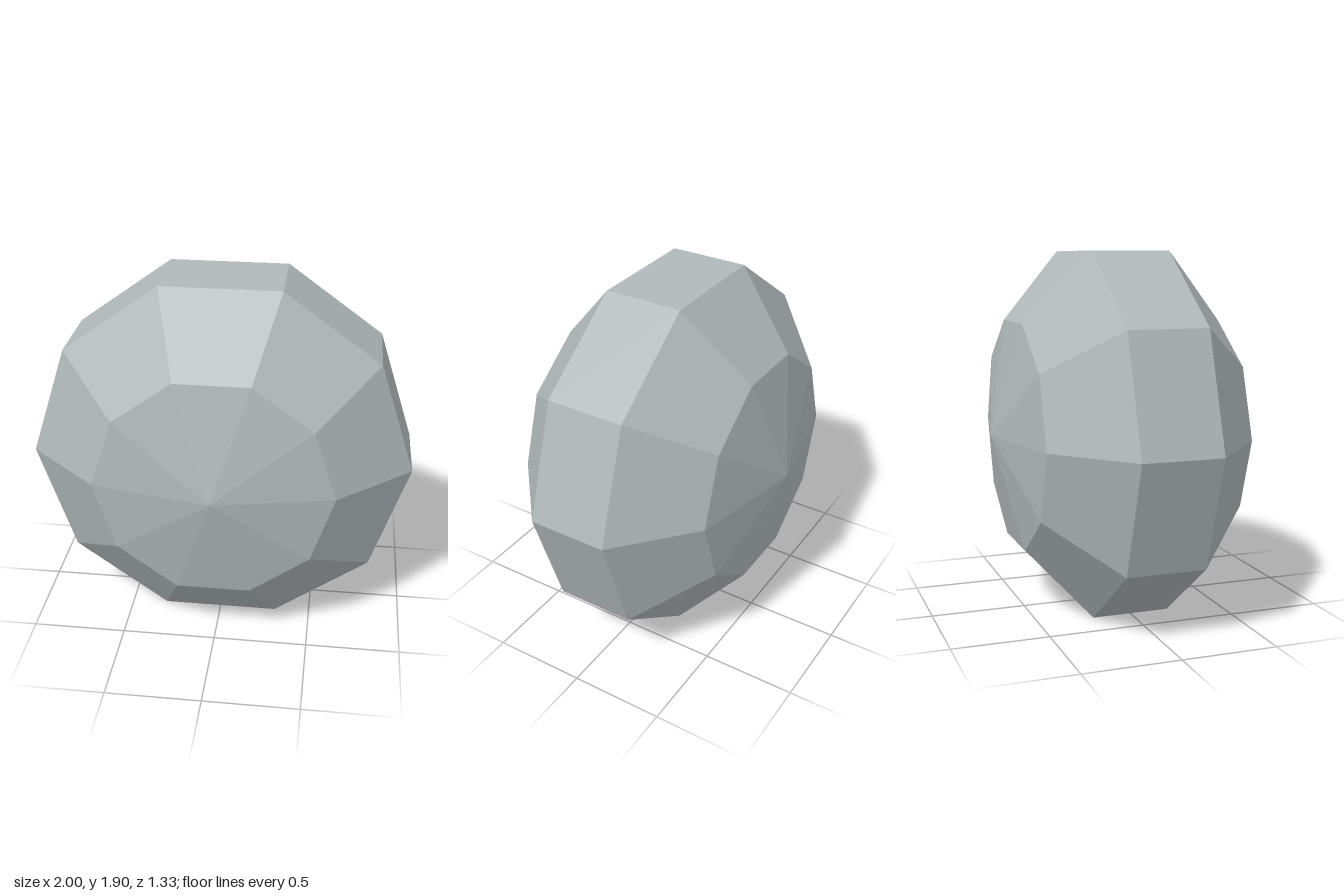
import * as THREE from 'three';

const SIDES = 10;
const CENTER_Y = Math.sin((2 * Math.PI) / 5); // lowest flat side rests on y = 0

export function createModel() {
  const model = new THREE.Group();
  model.name = 'facetedDisc';

  const stone = new THREE.MeshStandardMaterial({ color: 0xb0b8ba, flatShading: true });
  stone.name = 'pale grey';

  // Ten-sided turned part around the z axis; profile is [radius, z] from back to front
  function turned(name, profile) {
    const points = profile.map(([r, z]) => new THREE.Vector2(r, z));
    const geometry = new THREE.LatheGeometry(points, SIDES, Math.PI / 2);
    geometry.rotateX(Math.PI / 2);
    const mesh = new THREE.Mesh(geometry, stone);
    mesh.name = name;
    mesh.position.y = CENTER_Y;
    model.add(mesh);
  }

  // Crown from girdle edge to central point
  const crown = [[1, 0.207], [0.618, 0.54], [0, 0.667]];

  turned('frontCrown', crown);
  turned('girdleBand', [[1, -0.207], [1, 0.207]]);
  turned('backCrown', crown.map(([r, z]) => [r, -z]).reverse());

  return model;
}
